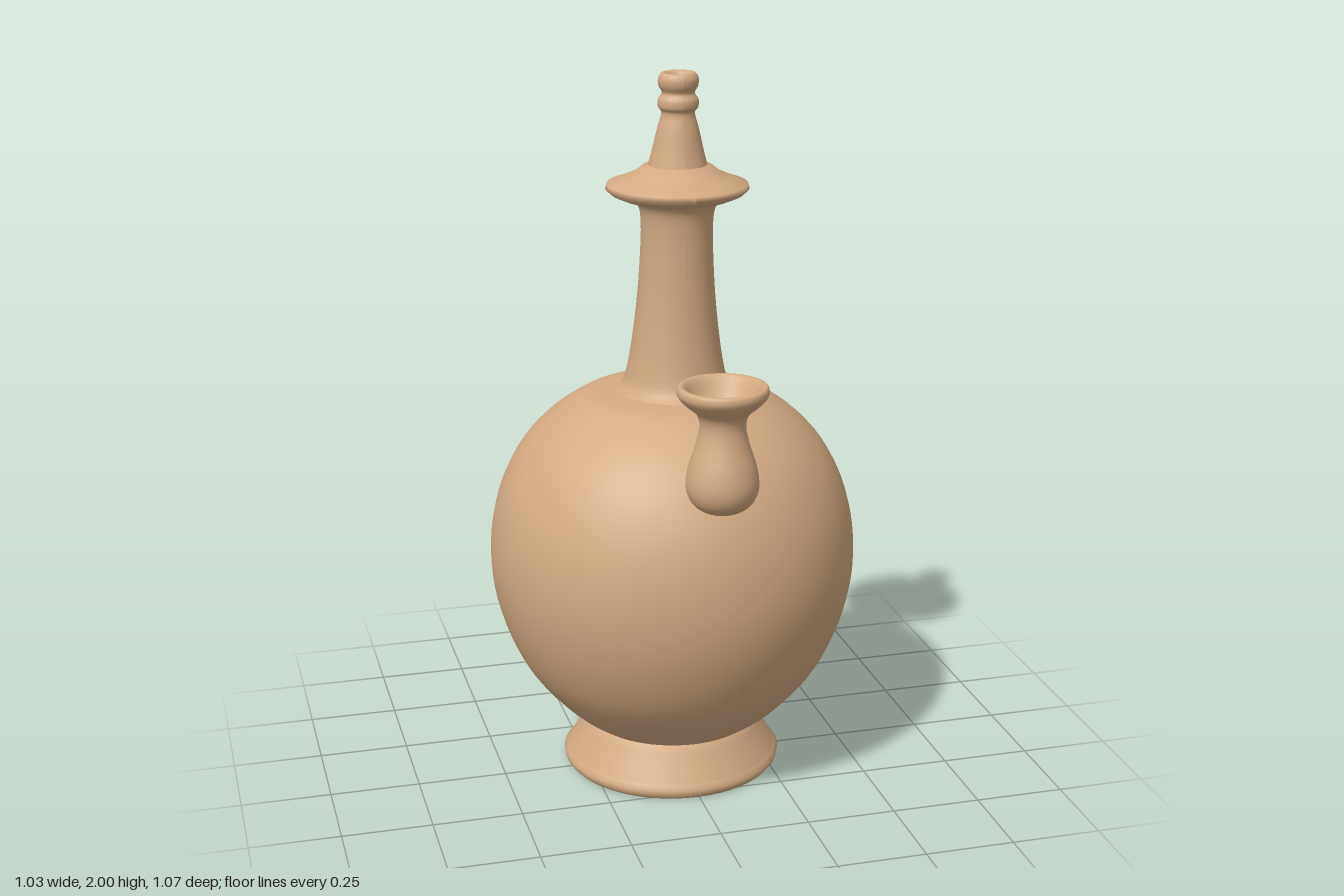
import * as THREE from 'three';

const clay = new THREE.MeshStandardMaterial({ color: 0xd2aa82 });
clay.name = 'clay';

// Turned part: [radius, height] pairs from bottom to top, optionally smoothed
function turned(name, pairs, smooth = 0, segments = 56) {
  let pts = pairs.map(([r, y]) => new THREE.Vector2(r, y));
  if (smooth) pts = new THREE.SplineCurve(pts).getPoints(smooth);
  pts.forEach((p) => { p.x = Math.max(p.x, 0); });
  const mesh = new THREE.Mesh(new THREE.LatheGeometry(pts, segments), clay);
  mesh.name = name;
  return mesh;
}

// The hand-made neck leans slightly forward as it rises
function lean(mesh) {
  const p = mesh.geometry.attributes.position;
  for (let i = 0; i < p.count; i++) {
    p.setX(i, p.getX(i) + 0.008);
    p.setZ(i, p.getZ(i) - 0.015 + (p.getY(i) - 1.1) * 0.038);
  }
  mesh.geometry.computeVertexNormals();
  return mesh;
}

export function createModel() {
  const model = new THREE.Group();
  model.name = 'ewer';

  // Round belly with a low shoulder
  const body = turned('body', [
    [0.23, 0.13], [0.31, 0.19], [0.40, 0.29], [0.457, 0.39], [0.498, 0.51], [0.514, 0.63],
    [0.505, 0.75], [0.474, 0.86], [0.42, 0.96], [0.345, 1.04], [0.255, 1.1], [0.2, 1.115], [0.12, 1.125],
  ], 44, 64);
  body.position.z = -0.018;

  // Flared hollow foot: inside, rim, then outside
  const foot = new THREE.Group();
  foot.name = 'foot';
  foot.add(
    turned('footInside', [[0, 0.13], [0.12, 0.12], [0.2, 0.09], [0.225, 0.05], [0.24, 0.008]], 16),
    turned('footRim', [[0.24, 0.008], [0.3, 0.002], [0.308, 0.012], [0.311, 0.028], [0.299, 0.042]]),
    turned('footWall', [[0.299, 0.042], [0.28, 0.075], [0.255, 0.115], [0.243, 0.142], [0.22, 0.148]]),
  );
  foot.position.set(-0.003, 0, -0.02);

  // Tall waisted neck
  const neck = lean(turned('neck', [
    [0.19, 1.105], [0.15, 1.135], [0.133, 1.19], [0.119, 1.28], [0.107, 1.39],
    [0.1, 1.5], [0.098, 1.59], [0.106, 1.64], [0.135, 1.67],
  ], 32));

  // Disc flange
  const flange = lean(turned('flange', [
    [0.09, 1.658], [0.15, 1.662], [0.18, 1.675], [0.194, 1.688], [0.191, 1.7],
    [0.155, 1.713], [0.118, 1.73], [0.095, 1.748], [0.065, 1.757],
  ]));

  // Tapered upper spout with two beads and a small opening
  const spire = lean(turned('upperSpout', [
    [0.082, 1.745], [0.07, 1.79], [0.056, 1.85], [0.045, 1.892], [0.054, 1.908], [0.054, 1.928],
    [0.044, 1.946], [0.053, 1.965], [0.054, 1.985], [0.043, 2.0], [0.027, 1.99], [0.02, 1.96], [0, 1.945],
  ], 52, 32));

  // Side filling spout: bulb, narrow waist and open cup
  const spout = turned('fillingSpout', [
    [0, 0.9], [0.045, 0.907], [0.081, 0.932], [0.097, 0.975], [0.09, 1.03], [0.071, 1.09], [0.061, 1.14],
    [0.07, 1.175], [0.1, 1.202], [0.119, 1.225], [0.12, 1.243], [0.112, 1.25], [0.098, 1.243],
    [0.07, 1.2], [0.03, 1.165], [0.02, 1.13], [0, 1.12],
  ], 64, 36);
  spout.position.set(0.022, 0, 0.414);

  model.add(body, foot, neck, flange, spire, spout);
  return model;
}
